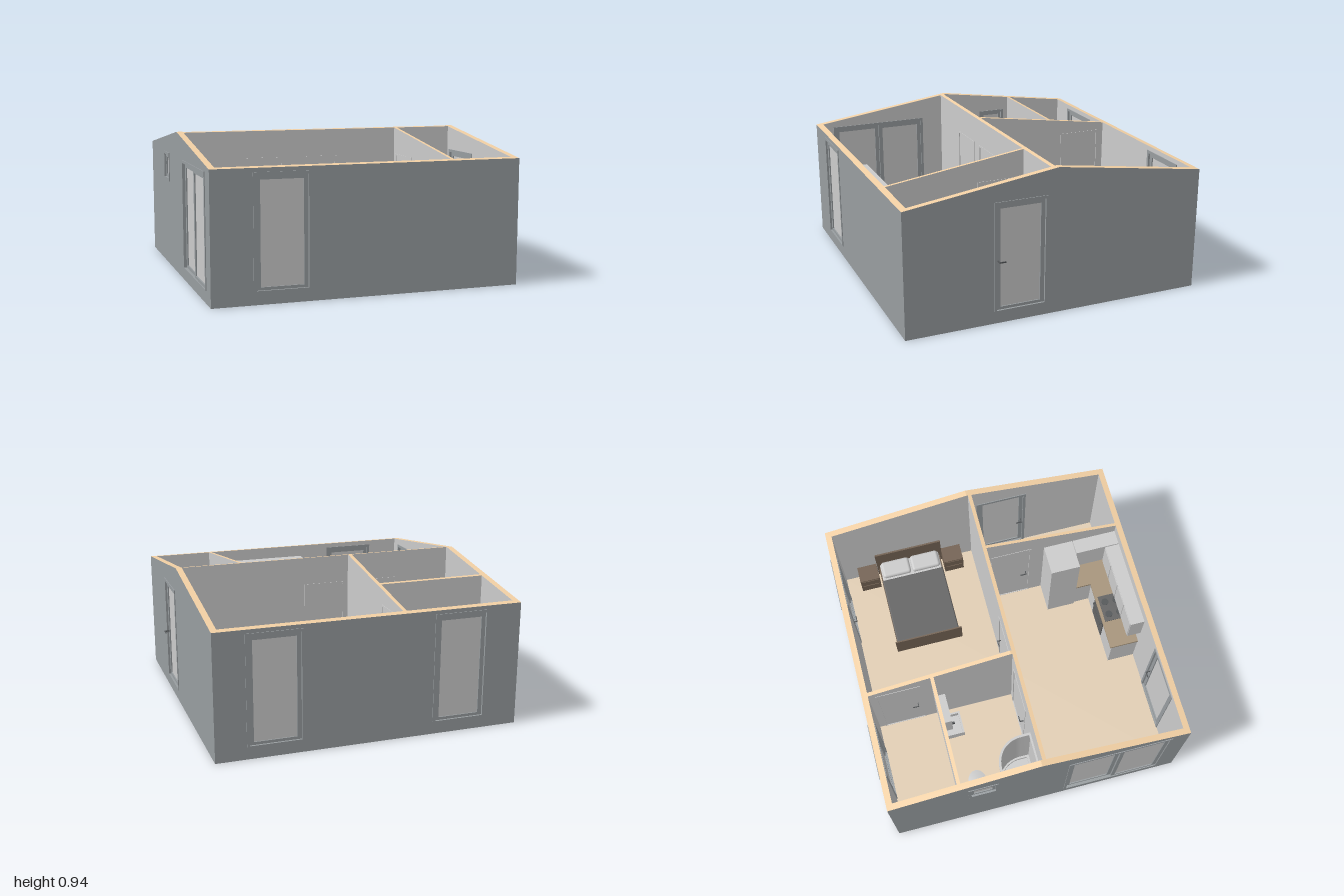
import * as THREE from 'three';
import { RoundedBoxGeometry } from 'three/addons/geometries/RoundedBoxGeometry.js';

const mat = (color, side = THREE.FrontSide) => new THREE.MeshStandardMaterial({ color, side });
const GREY = mat(0xcccccc), CLAD = mat(0x989da0), WOOD = mat(0xf2d0a4), FLOOR = mat(0xe1ceb4);
const DARK = mat(0x656565), BROWN = mat(0x746354), COUNTER = mat(0xa7957c), METAL = mat(0x55585a);
const THIN = mat(0xcccccc, THREE.DoubleSide);

const FLOOR_Y = 0.08;
const roofY = z => 0.945 - 0.14 * Math.abs(z) / 0.985;

function add(parent, name, geo, material, x = 0, y = 0, z = 0) {
  const m = new THREE.Mesh(geo, material);
  m.name = name;
  m.position.set(x, y, z);
  parent.add(m);
  return m;
}
// box given by its limits on each axis
function box(parent, name, material, x0, x1, y0, y1, z0, z1, r = 0) {
  const s = [x1 - x0, y1 - y0, z1 - z0];
  const geo = r ? new RoundedBoxGeometry(...s, 3, r) : new THREE.BoxGeometry(...s);
  return add(parent, name, geo, material, (x0 + x1) / 2, (y0 + y1) / 2, (z0 + z1) / 2);
}
const rect = (a, b, y0, y1, C = THREE.Path) =>
  new C([[a, y0], [b, y0], [b, y1], [a, y1]].map(p => new THREE.Vector2(...p)));

// rectangular frame with its own bottom rail width
function ring(parent, name, material, a, b, y0, y1, w, wBottom, n0, n1) {
  const s = rect(a, b, y0, y1, THREE.Shape);
  s.holes.push(rect(a + w, b - w, y0 + wBottom, y1 - w));
  add(parent, name, new THREE.ExtrudeGeometry(s, { depth: n1 - n0, bevelEnabled: false }), material, 0, 0, n0);
}

// lever handles on one or both faces (dir: the way the lever points)
function handle(parent, s, n0, n1, sides, dir) {
  for (const side of sides) {
    const f = side > 0 ? n1 : n0, e = f + side * 0.024, i = f - side * 0.01;
    box(parent, 'handleStem', METAL, s - 0.003, s + 0.003, 0.4, 0.408, Math.min(i, e), Math.max(i, e));
    box(parent, 'handleLever', METAL, Math.min(s, s + dir * 0.04), Math.max(s, s + dir * 0.04), 0.4, 0.408,
      Math.min(e, e - side * 0.006), Math.max(e, e - side * 0.006));
  }
}

// casing, sash and pane, or casing and leaf, set into an opening
function fillOpening(parent, o, n0, n1) {
  const { a, b, y0, y1 } = o, mid = (n0 + n1) / 2;
  const g = new THREE.Group();
  g.name = o.name;
  parent.add(g);
  if (o.leaf) {
    ring(g, 'doorCasing', GREY, a, b, y0, y1, 0.012, 0.003, n0 - 0.003, n1 + 0.003);
    box(g, 'doorLeaf', GREY, a + 0.012, b - 0.012, y0 + 0.003, y1 - 0.012, n0 + 0.003, n1 - 0.003);
  } else {
    ring(g, 'casing', CLAD, a, b, y0, y1, 0.018, o.small ? 0.018 : 0.004, n0 - 0.005, n1 + 0.005);
    const count = o.panes || 1, w = (b - a - 0.036) / count;
    for (let i = 0; i < count; i++) {
      const l = a + 0.018 + i * w, shift = count > 1 ? (i - 0.5) * 0.012 : 0;
      const bottom = y0 + (o.small ? 0.018 : 0.004), edge = o.small ? 0.018 : 0.027;
      ring(g, 'sash', CLAD, l, l + w, bottom, y1 - 0.018, edge, o.small ? edge : 0.018, mid + shift - 0.012, mid + shift + 0.012);
      box(g, 'pane', GREY, l + edge, l + w - edge, bottom + 0.016, y1 - 0.018 - edge, mid + shift - 0.004, mid + shift + 0.004);
    }
  }
  for (const [s, sides, dir] of o.handles || []) handle(g, s, n0, n1, sides, dir);
}

// wall from s0 to s1, thickness n0..n1; outer = +1/-1 marks the clad, mitred face
function wall(parent, name, alongZ, s0, s1, n0, n1, outer, openings) {
  const g = new THREE.Group();
  g.name = name;
  const top = alongZ && s0 < 0 && s1 > 0 ? [[s1, 0.9], [0, 0.9], [s0, 0.9]] : [[s1, 0.9], [s0, 0.9]];
  const shape = new THREE.Shape([[s0, 0], [s1, 0], ...top].map(p => new THREE.Vector2(...p)));
  openings.forEach(o => shape.holes.push(rect(o.a, o.b, o.y0, o.y1)));
  const geo = new THREE.ExtrudeGeometry(shape, { depth: n1 - n0, bevelEnabled: false });
  geo.translate(0, 0, n0);
  const p = geo.attributes.position, t = n1 - n0, mid = (n0 + n1) / 2;
  for (let i = 0; i < p.count; i++) {
    if (outer && (p.getZ(i) - mid) * outer < 0)
      p.setX(i, THREE.MathUtils.clamp(p.getX(i), s0 + t, s1 - t));
    if (p.getY(i) > 0.85) p.setY(i, roofY(alongZ ? p.getX(i) : p.getZ(i)));
  }
  geo.computeVertexNormals();
  // low face, high face, cut edges
  const caps = geo.groups[0].count, rest = geo.groups[1].count;
  geo.clearGroups();
  geo.addGroup(0, caps / 2, 0);
  geo.addGroup(caps / 2, caps / 2, 1);
  geo.addGroup(caps, rest, 2);
  add(g, name + 'Panel', geo, [outer < 0 ? CLAD : GREY, outer > 0 ? CLAD : GREY, WOOD]);
  openings.forEach(o => fillOpening(g, o, n0, n1));
  if (alongZ) g.rotation.y = -Math.PI / 2; // local x = z, local z = -x
  parent.add(g);
}

const tall = (name, a, b, extra) => ({ name, a, b, y0: FLOOR_Y, y1: 0.78, ...extra });
const door = (a, b, s, dir) => ({ name: 'innerDoor', a, b, y0: FLOOR_Y, y1: 0.76, leaf: true, handles: [[s, [-1, 1], dir]] });

function buildWalls(house) {
  const X0 = -0.995, X1 = 0.975, Z0 = -0.99, Z1 = 0.985, T = 0.04;
  wall(house, 'frontWall', false, X0, X1, Z1 - T, Z1, 1, [tall('frontWindow', -0.74, -0.385, { handles: [[-0.42, [-1], -1]] })]);
  wall(house, 'backWall', false, X0, X1, Z0, Z0 + T, -1, [
    tall('backWindow', -0.775, -0.415), tall('backWindow', 0.42, 0.78, { handles: [[0.455, [1], 1]] })]);
  wall(house, 'rightWall', true, Z0, Z1, -X1, -X1 + T, -1, [tall('entranceDoor', 0.065, 0.42, { handles: [[0.39, [-1, 1], -1]] })]);
  wall(house, 'leftWall', true, Z0, Z1, -X0 - T, -X0, 1, [
    tall('slidingDoor', 0.185, 0.87, { panes: 2 }),
    { name: 'smallWindow', a: -0.475, b: -0.28, y0: 0.585, y1: 0.78, small: true }]);
  wall(house, 'middleWall', false, X0 + T, X1 - T, 0.01, 0.035, 0, [door(-0.58, -0.28, -0.54, 1), door(-0.19, 0.1, 0.06, -1)]);
  wall(house, 'bedroomWall', true, Z0 + T, 0.01, 0.215, 0.24, 0, [door(-0.91, -0.61, -0.65, -1)]);
  wall(house, 'bathroomWall', false, X0 + T, -0.24, -0.535, -0.512, 0, []);
  wall(house, 'hallWall', true, 0.035, Z1 - T, -0.545, -0.525, 0, [door(0.065, 0.35, 0.315, -1)]);
  box(house, 'floorSlab', CLAD, X0 + T, X1 - T, 0.02, 0.075, Z0 + T, Z1 - T);
  box(house, 'floorBoards', FLOOR, X0 + T, X1 - T, 0.075, FLOOR_Y, Z0 + T, Z1 - T);
}

function buildBedroom(g) {
  const F = FLOOR_Y;
  box(g, 'bedBase', BROWN, 0.29, 0.925, F + 0.04, 0.17, -0.695, -0.235);
  box(g, 'headboard', BROWN, 0.922, 0.934, F, 0.38, -0.705, -0.22);
  box(g, 'footboard', BROWN, 0.28, 0.29, F, 0.26, -0.705, -0.22);
  box(g, 'mattress', GREY, 0.295, 0.922, 0.17, 0.235, -0.685, -0.245, 0.01);
  box(g, 'blanket', DARK, 0.292, 0.785, 0.165, 0.245, -0.69, -0.24, 0.008);
  for (const z of [-0.677, -0.46]) box(g, 'pillow', GREY, 0.797, 0.92, 0.23, 0.275, z, z + 0.207, 0.02);
  for (const z of [-0.85, -0.22]) {
    box(g, 'nightstand', BROWN, 0.815, 0.934, F, 0.24, z, z + 0.142);
    for (const y of [0.1, 0.17]) box(g, 'drawer', BROWN, 0.811, 0.816, y, y + 0.06, z + 0.01, z + 0.132);
  }
}

function buildBathroom(g) {
  const F = FLOOR_Y;
  // quarter-round shower in the corner
  const quarter = r => new THREE.Shape().moveTo(0, 0).lineTo(r, 0).lineTo(r, r * 0.25)
    .bezierCurveTo(r, r * 0.68, r * 0.68, r, r * 0.25, r).lineTo(0, r);
  const slab = (name, r, depth, y, hole, inset) => {
    const s = quarter(r);
    if (hole) s.holes.push(new THREE.Path(quarter(hole).getPoints(16).map(p => p.addScalar(inset))));
    const m = add(g, name, new THREE.ExtrudeGeometry(s, { depth, bevelEnabled: false, curveSegments: 16 }), THIN, -0.955, y, 0.01);
    m.rotation.x = -Math.PI / 2;
  };
  slab('showerTray', 0.25, 0.025, F, 0, 0);
  slab('showerRim', 0.255, 0.045, F, 0.215, 0.015);
  slab('showerTopRail', 0.253, 0.015, 0.67, 0.225, 0.012);
  const arc = quarter(0.245).getPoints(16).slice(1, -1), screen = new THREE.PlaneGeometry(1, 0.56, arc.length - 1, 1);
  for (let i = 0; i < screen.attributes.position.count; i++) {
    const q = arc[i % arc.length];
    screen.attributes.position.setX(i, q.x).setZ(i, -q.y);
  }
  screen.computeVertexNormals();
  add(g, 'showerScreen', screen, THIN, -0.955, 0.395, 0.01);
  // toilet
  box(g, 'toiletTank', GREY, -0.953, -0.89, 0.2, 0.34, -0.44, -0.325, 0.01);
  box(g, 'toiletFoot', GREY, -0.953, -0.82, F, 0.2, -0.42, -0.345, 0.01);
  const bowl = [[0.03, 0], [0.035, 0.05], [0.058, 0.11], [0.062, 0.125], [0.062, 0.135], [0, 0.138]];
  add(g, 'toiletBowl', new THREE.LatheGeometry(bowl.map(p => new THREE.Vector2(...p)), 24), GREY, -0.82, F, -0.382).scale.x = 1.2;
  // wash basin with wall cabinet above
  box(g, 'wallCabinet', GREY, -0.525, -0.335, 0.58, 0.77, -0.512, -0.465);
  box(g, 'basinBottom', GREY, -0.505, -0.35, 0.29, 0.31, -0.512, -0.39);
  const s = rect(-0.505, -0.35, 0.39, 0.512, THREE.Shape);
  s.holes.push(rect(-0.493, -0.362, 0.402, 0.47));
  add(g, 'basinRim', new THREE.ExtrudeGeometry(s, { depth: 0.05, bevelEnabled: false }), GREY, 0, 0.31, 0).rotation.x = -Math.PI / 2;
  box(g, 'basinPedestal', GREY, -0.45, -0.405, F, 0.29, -0.512, -0.44);
  box(g, 'tap', METAL, -0.432, -0.422, 0.36, 0.39, -0.495, -0.44);
}

function buildKitchen(g) {
  const F = FLOOR_Y;
  box(g, 'baseCabinets', GREY, -0.17, 0.525, F, 0.355, 0.755, 0.945);
  box(g, 'sideBaseCabinet', GREY, 0.335, 0.525, F, 0.355, 0.64, 0.755);
  box(g, 'worktop', COUNTER, -0.175, 0.525, 0.355, 0.37, 0.745, 0.945);
  box(g, 'sideWorktop', COUNTER, 0.325, 0.525, 0.355, 0.37, 0.64, 0.745);
  box(g, 'fridge', GREY, 0.325, 0.525, F, 0.73, 0.44, 0.64);
  for (let i = 0; i < 4; i++) {
    const x = -0.165 + i * 0.148;
    box(g, 'upperCabinet', GREY, x - 0.005, x + 0.143, 0.52, 0.73, 0.849, 0.945);
    box(g, 'upperDoor', GREY, x, x + 0.138, 0.525, 0.725, 0.845, 0.85);
  }
  box(g, 'sideUpperCabinet', GREY, 0.427, 0.525, 0.52, 0.73, 0.645, 0.945);
  // oven and hob
  box(g, 'oven', DARK, 0.02, 0.215, 0.12, 0.34, 0.748, 0.76);
  box(g, 'ovenHandle', METAL, 0.03, 0.205, 0.31, 0.318, 0.732, 0.738);
  for (const x of [0.035, 0.192]) box(g, 'ovenHandlePost', METAL, x, x + 0.008, 0.31, 0.318, 0.734, 0.75);
  box(g, 'hob', DARK, 0.02, 0.215, 0.37, 0.375, 0.765, 0.925);
  for (let i = 0; i < 4; i++)
    add(g, 'burner', new THREE.CylinderGeometry(0.025, 0.025, 0.005, 20), METAL, 0.07 + (i % 2) * 0.095, 0.377, 0.805 + (i >> 1) * 0.08);
}

export function createModel() {
  const house = new THREE.Group();
  house.name = 'house';
  buildWalls(house);
  for (const [name, build] of [['bedroom', buildBedroom], ['bathroom', buildBathroom], ['kitchen', buildKitchen]]) {
    const room = new THREE.Group();
    room.name = name;
    build(room);
    house.add(room);
  }
  return house;
}
